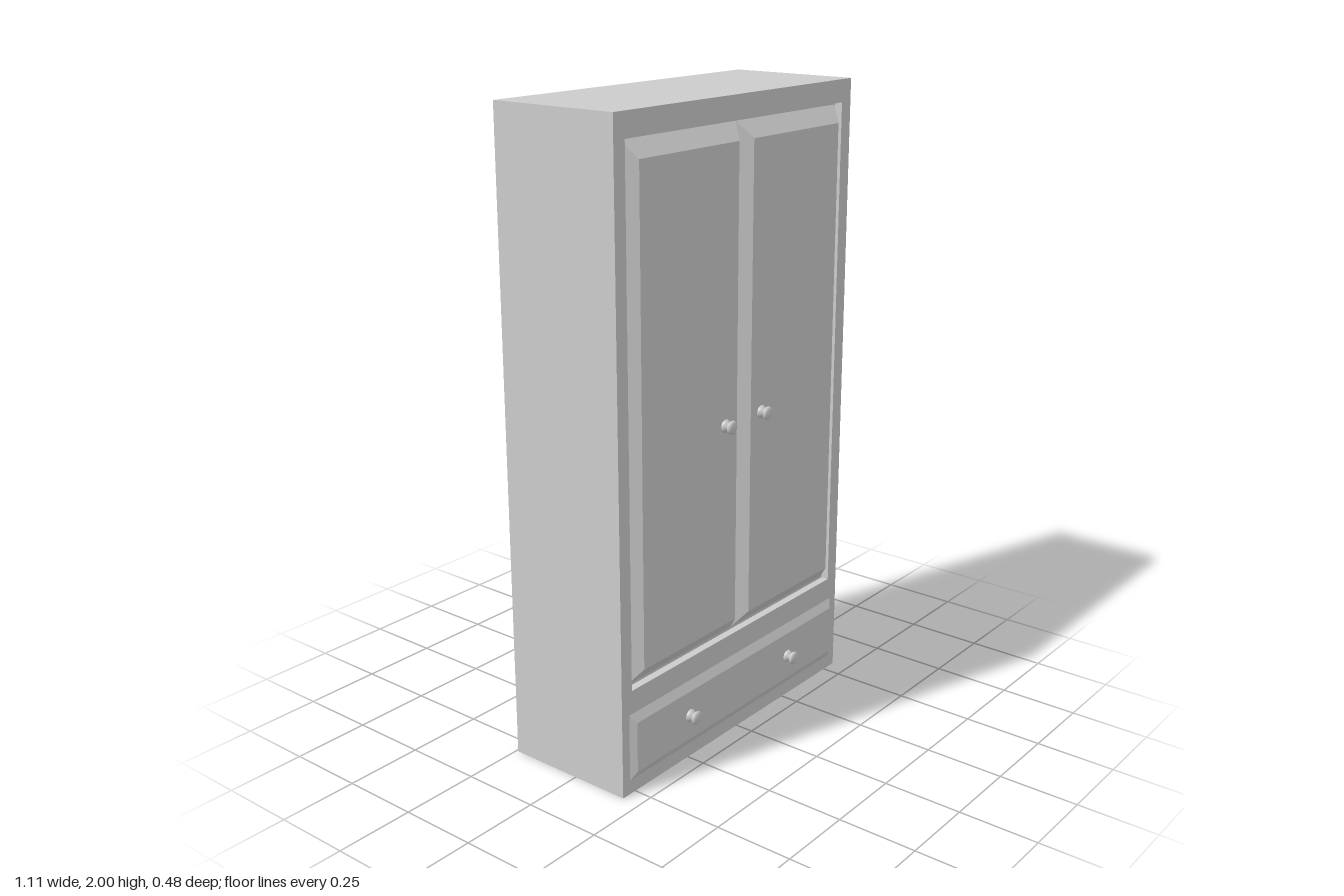
import * as THREE from 'three';

const FRONT = 0.19, RECESS = 0.165, PANEL = 0.205, BACK = -0.243;

// Raised panel: a box whose front face is pulled in to form sloping borders
function raisedPanel(x0, x1, y0, y1, zBack, insetX, insetY) {
  const w = x1 - x0, h = y1 - y0, d = PANEL - zBack;
  const geo = new THREE.BoxGeometry(w, h, d);
  const p = geo.attributes.position;
  for (let i = 0; i < p.count; i++) {
    if (p.getZ(i) < 0) continue;
    p.setX(i, p.getX(i) - Math.sign(p.getX(i)) * insetX);
    p.setY(i, p.getY(i) - Math.sign(p.getY(i)) * insetY);
  }
  geo.computeVertexNormals();
  geo.translate((x0 + x1) / 2, (y0 + y1) / 2, zBack + d / 2);
  return geo;
}

function rectangle(PathType, x0, x1, y0, y1) {
  return new PathType([[x0, y0], [x1, y0], [x1, y1], [x0, y1]].map(([x, y]) => new THREE.Vector2(x, y)));
}

export function createModel() {
  const group = new THREE.Group();
  const paint = new THREE.MeshStandardMaterial({ color: 0xcccccc });
  paint.name = 'greyPaint';

  function add(name, geo) {
    const mesh = new THREE.Mesh(geo, paint);
    mesh.name = name;
    group.add(mesh);
    return mesh;
  }

  // Carcass up to the floor of the door recess
  const carcass = new THREE.BoxGeometry(1.11, 2, RECESS - BACK);
  carcass.translate(0, 1, (RECESS + BACK) / 2);
  add('carcass', carcass);

  // Front frame with the door opening
  const outline = rectangle(THREE.Shape, -0.555, 0.555, 0, 2);
  outline.holes.push(rectangle(THREE.Path, -0.51, 0.508, 0.335, 1.93));
  const frame = new THREE.ExtrudeGeometry(outline, { depth: FRONT - RECESS, bevelEnabled: false });
  frame.translate(0, 0, RECESS);
  add('frontFrame', frame);

  // Doors and drawer
  add('rightDoor', raisedPanel(-0.505, -0.001, 0.343, 1.922, RECESS, 0.034, 0.05));
  add('leftDoor', raisedPanel(0.001, 0.503, 0.343, 1.922, RECESS, 0.034, 0.05));
  add('drawerFront', raisedPanel(-0.523, 0.521, 0.045, 0.26, FRONT, 0.018, 0.027));

  // Turned knobs: flared foot, narrow neck, rounded head
  const profile = [
    [0.021, -0.003], [0.02, 0.004], [0.017, 0.01], [0.012, 0.014], [0.011, 0.017],
    [0.018, 0.02], [0.0215, 0.025], [0.02, 0.03], [0.014, 0.034], [0, 0.036],
  ].map(([r, h]) => new THREE.Vector2(r, h));
  const knob = new THREE.LatheGeometry(profile, 24);
  knob.rotateX(Math.PI / 2);
  const knobs = [
    ['rightDoorKnob', -0.091, 1.04], ['leftDoorKnob', 0.088, 1.04],
    ['rightDrawerKnob', -0.257, 0.152], ['leftDrawerKnob', 0.255, 0.152],
  ];
  for (const [name, x, y] of knobs) add(name, knob).position.set(x, y, PANEL - 0.001);

  return group;
}
